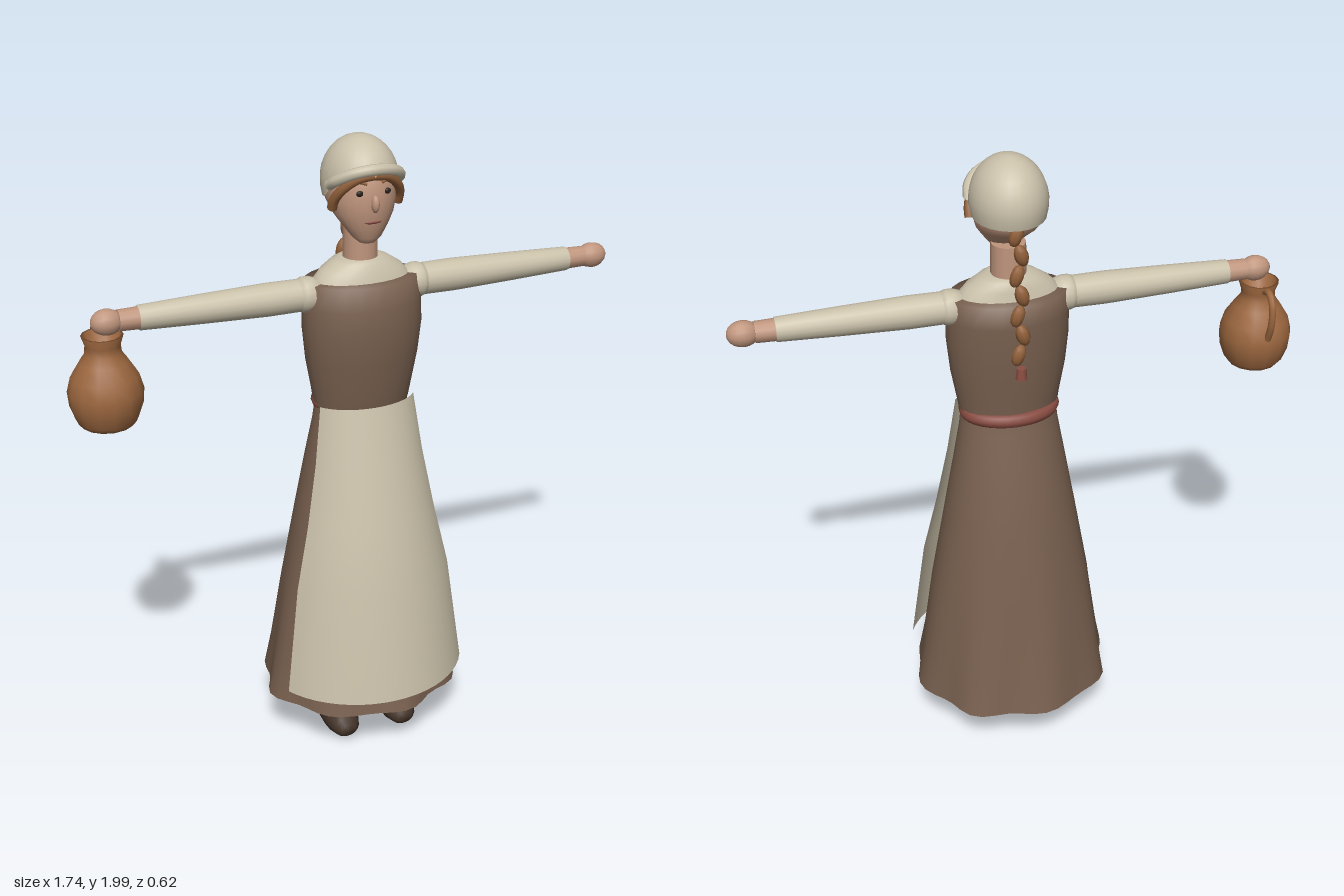
import * as THREE from 'three';

const mat = (name, color, double) => {
  const m = new THREE.MeshStandardMaterial({ color });
  m.name = name;
  if (double) m.side = THREE.DoubleSide;
  return m;
};

// Grid surface from fn(row, angle) -> [x, y, z]; rows rise, angle 0 faces +z
function grid(rows, cols, from, to, fn) {
  const closed = to - from > 6.28;
  const n = closed ? cols : cols + 1;
  const pos = [], idx = [];
  for (let i = 0; i < rows; i++)
    for (let j = 0; j < n; j++) pos.push(...fn(i, from + (to - from) * j / cols));
  for (let i = 0; i < rows - 1; i++)
    for (let j = 0; j < cols; j++) {
      const k = (j + 1) % n;
      const a = i * n + j, b = i * n + k, c = b + n, d = a + n;
      idx.push(a, b, c, a, c, d);
    }
  const g = new THREE.BufferGeometry();
  g.setAttribute('position', new THREE.Float32BufferAttribute(pos, 3));
  g.setIndex(idx);
  g.computeVertexNormals();
  return g;
}

// Elliptical cross-sections [y, rx, rz, zCentre]; wave(y, a) scales the radius
function loft(sections, cols = 24, from = 0, to = Math.PI * 2, wave = () => 1) {
  return grid(sections.length, cols, from, to, (i, a) => {
    const [y, rx, rz, zc = 0] = sections[i];
    const s = wave(y, a);
    return [Math.sin(a) * rx * s, y, Math.cos(a) * rz * s + zc];
  });
}

const ball = (rx, ry, rz, w = 12, h = 10) => new THREE.SphereGeometry(1, w, h).scale(rx, ry, rz);
const tube = (pts, r, seg = 16, sides = 8) => new THREE.TubeGeometry(
  new THREE.CatmullRomCurve3(pts.map(p => new THREE.Vector3(...p))), seg, r, sides);
const lathe = (pts, seg = 16) => new THREE.LatheGeometry(pts.map(p => new THREE.Vector2(...p)), seg);

export function createModel() {
  const linen = mat('linen', 0xcac1aa, true);
  const wool = mat('brown wool', 0x78604f, true);
  const skin = mat('skin', 0xc0967e);
  const hair = mat('hair', 0x91603a);
  const clay = mat('clay', 0x9c673f, true);
  const red = mat('red sash', 0x8a4d42);
  const leather = mat('dark leather', 0x45352a);
  const dark = mat('dark eye', 0x2a1f1a);
  const lip = mat('lip', 0x8c4c44);

  const model = new THREE.Group();
  const woman = new THREE.Group();
  woman.name = 'woman';
  woman.position.x = 0.04;
  model.add(woman);
  const add = (name, geo, m, x = 0, y = 0, z = 0, parent = woman) => {
    const mesh = new THREE.Mesh(geo, m);
    mesh.name = name;
    mesh.position.set(x, y, z);
    parent.add(mesh);
    return mesh;
  };

  // Skirt with folds that deepen towards the hem
  add('skirt', loft([
    [0.175, 0.315, 0.288, -0.015], [0.3, 0.294, 0.262, -0.015], [0.55, 0.258, 0.22, -0.014],
    [0.8, 0.212, 0.178, -0.012], [1.0, 0.176, 0.138, -0.008], [1.12, 0.155, 0.108, -0.003], [1.18, 0.148, 0.1, 0],
  ], 48, 0, Math.PI * 2, (y, a) =>
    1 + 0.04 * Math.max(0, (0.9 - y) / 0.73) ** 2 * Math.cos(8 * a - 1.4) * (1 + 0.3 * Math.sin(3 * a))), wool);

  // Apron sheet over the front
  add('apron', loft([
    [0.245, 0.335, 0.312], [0.6, 0.286, 0.258], [0.8, 0.238, 0.214], [1.0, 0.198, 0.165], [1.185, 0.171, 0.118],
  ], 20, -1.12, 1.12), linen);

  // Bodice, sash and collar
  add('bodice', loft([
    [1.17, 0.152, 0.105, 0], [1.22, 0.16, 0.112, 0.003], [1.32, 0.178, 0.125, 0.005], [1.42, 0.188, 0.134, 0.007],
    [1.5, 0.187, 0.13, 0.002], [1.57, 0.178, 0.12, -0.005], [1.573, 0.11, 0.06, -0.005],
  ]), wool);
  const sash = add('sash', new THREE.TorusGeometry(1, 0.16, 8, 32).rotateX(Math.PI / 2), red, 0, 1.178, -0.01);
  sash.scale.set(0.135, 0.14, 0.099);
  add('collar', loft([
    [1.545, 0.17, 0.095, -0.005], [1.575, 0.15, 0.085, -0.005], [1.6, 0.128, 0.08, -0.007],
    [1.625, 0.09, 0.069, -0.01], [1.635, 0.06, 0.058, -0.01], [1.63, 0.045, 0.045, -0.01],
  ]), linen);

  // Head
  add('neck', new THREE.CylinderGeometry(0.052, 0.054, 0.15, 14), skin, 0, 1.655, -0.01);
  add('head', loft([
    [1.69, 0, 0, 0.045], [1.693, 0.025, 0.022, 0.045], [1.71, 0.045, 0.04, 0.04], [1.745, 0.07, 0.066, 0.025],
    [1.78, 0.092, 0.095, 0.005], [1.82, 0.105, 0.118, -0.013], [1.87, 0.105, 0.114, -0.012],
    [1.92, 0.088, 0.095, -0.01], [1.96, 0.04, 0.04, -0.01],
  ]), skin);
  add('nose', ball(0.012, 0.026, 0.016), skin, 0, 1.823, 0.107);
  add('mouth', ball(0.028, 0.006, 0.008), lip, 0, 1.765, 0.09);
  for (const s of [-1, 1]) {
    add('eye', ball(0.011, 0.009, 0.006), dark, s * 0.043, 1.855, 0.093);
    add('eyebrow', tube([[s * 0.022, 1.882, 0.097], [s * 0.044, 1.888, 0.09], [s * 0.064, 1.88, 0.078]], 0.005, 8, 6), hair);
    add('frontHair', tube([[0, 1.905, 0.094], [s * 0.045, 1.897, 0.088], [s * 0.085, 1.865, 0.066],
      [s * 0.102, 1.83, 0.043], [s * 0.104, 1.8, 0.028]], 0.015), hair);
  }

  // Cap, cut low behind and high over the forehead, with a rolled brim
  add('cap', grid(10, 24, 0, Math.PI * 2, (i, a) => {
    const edge = 1.82 + 0.1 * THREE.MathUtils.smoothstep(Math.cos(a), -0.1, 0.85);
    const t = Math.acos((edge - 1.865) / 0.135) * (1 - i / 9);
    return [Math.sin(a) * Math.sin(t) * 0.115, 1.865 + Math.cos(t) * 0.135, Math.cos(a) * Math.sin(t) * 0.131 - 0.016];
  }), linen);
  add('capBrim', tube([[-0.108, 1.868, 0.02], [-0.098, 1.89, 0.056], [-0.06, 1.915, 0.092], [0, 1.925, 0.107],
    [0.06, 1.915, 0.092], [0.098, 1.89, 0.056], [0.108, 1.868, 0.02]], 0.017, 24), linen);

  // Braid of overlapping beads with a tie
  for (let i = 0; i < 7; i++) {
    const bead = add('braidBead', ball(0.021, 0.035, 0.019, 8, 8), hair,
      (i % 2 ? -1 : 1) * 0.007, 1.8 - i * 0.062, -0.122 - i * 0.0045);
    bead.rotation.z = (i % 2 ? -1 : 1) * 0.3;
  }
  add('braidTie', new THREE.CylinderGeometry(0.014, 0.018, 0.035, 8), red, 0, 1.368, -0.153);

  // Arms, held straight out
  for (const s of [-1, 1]) {
    const arm = new THREE.Group();
    arm.name = s > 0 ? 'leftArm' : 'rightArm';
    arm.position.y = 1.535;
    arm.rotation.z = -s * Math.PI / 2;
    woman.add(arm);
    add('shoulderCuff', lathe([[0.03, 0.125], [0.046, 0.14], [0.054, 0.165], [0.054, 0.188], [0.047, 0.206], [0.03, 0.21]]),
      linen, 0, 0, 0, arm);
    add('sleeve', lathe([[0.049, 0.19], [0.05, 0.3], [0.044, 0.5], [0.037, 0.69], [0.025, 0.692]]), linen, 0, 0, 0, arm);
    add('wrist', new THREE.CylinderGeometry(0.032, 0.034, 0.08, 12), skin, 0, 0.71, 0, arm);
    add('hand', ball(0.04, 0.048, 0.036), skin, 0, 0.783, 0, arm);
  }

  // Legs and shoes
  const shoe = loft([
    [-0.032, 0, 0], [-0.03, 0.045, 0.044], [0.0, 0.056, 0.055], [0.06, 0.058, 0.056],
    [0.1, 0.054, 0.05, 0.004], [0.135, 0.042, 0.036, 0.008], [0.152, 0.026, 0.02, 0.01], [0.153, 0, 0, 0.01],
  ], 12).rotateX(Math.PI / 2);
  for (const s of [-1, 1]) {
    add('leg', new THREE.CylinderGeometry(0.039, 0.039, 0.36, 12), leather, s * 0.1, 0.26, 0);
    add('shoe', shoe, leather, s * 0.1, 0.062, 0);
  }

  // Jug hanging from the right hand
  const jug = new THREE.Group();
  jug.name = 'jug';
  jug.position.set(-0.757, 0, -0.008);
  model.add(jug);
  add('jugBody', lathe([[0, 1.218], [0.078, 1.218], [0.092, 1.235], [0.108, 1.28], [0.112, 1.325], [0.1, 1.37],
    [0.072, 1.415], [0.054, 1.44], [0.052, 1.465], [0.062, 1.495], [0.054, 1.495], [0.044, 1.46], [0, 1.43]], 14),
    clay, 0, 0, 0, jug);
  add('jugHandle', tube([[0, 1.48, -0.05], [0, 1.49, -0.085], [0, 1.46, -0.115], [0, 1.4, -0.12], [0, 1.34, -0.1]], 0.011),
    clay, 0, 0, 0, jug);

  return model;
}
